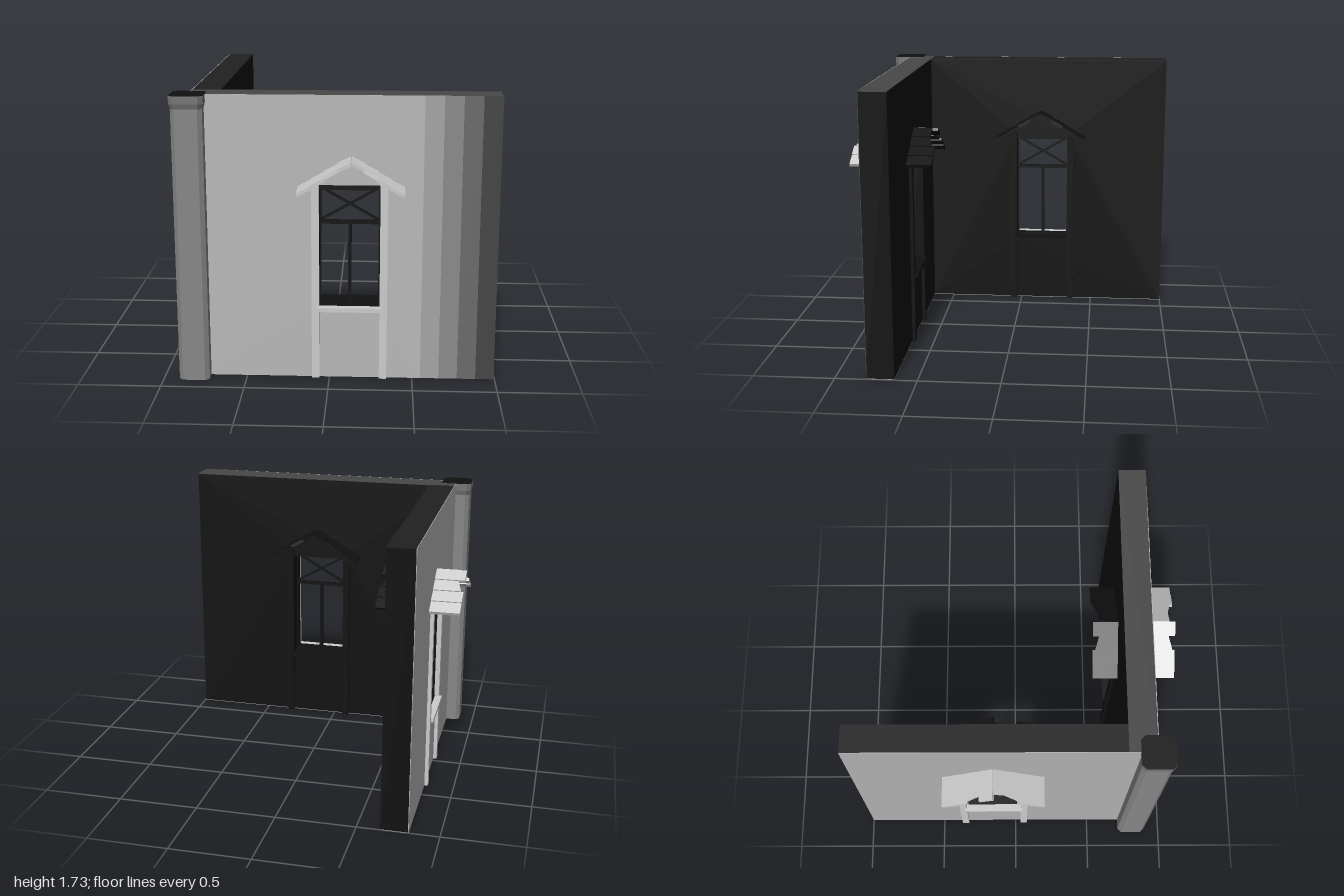
import * as THREE from 'three';

const paint = c => new THREE.MeshStandardMaterial({ color: c });
const DARK = paint(0x101010), TRIM = paint(0xbebebe), TILE = paint(0xcccccc);
const BASE = paint(0xa4a4a4), SHAFT = paint(0x868686), CAP = paint(0x747474);
const H = 1.73, T = 0.17, E = 0.004; // wall height, wall thickness, thickness of its finish
const HOLE = { w: 0.185, y0: 0.44, y1: 1.2 };

function add(parent, name, geo, mat, x = 0, y = 0, z = 0, rz = 0) {
  const m = new THREE.Mesh(geo, mat);
  m.name = name;
  m.position.set(x, y, z);
  m.rotation.z = rz;
  parent.add(m);
}
const box = (w, h, d) => new THREE.BoxGeometry(w, h, d);
const outline = pts => pts.map(p => new THREE.Vector2(...p));

// Slab with one window hole centred on x = 0, between the depths z0 and z1
function slab(x0, x1, y0, y1, z0, z1) {
  const s = new THREE.Shape(outline([[x0, y0], [x1, y0], [x1, y1], [x0, y1]]));
  const { w, y0: b, y1: t } = HOLE;
  s.holes.push(new THREE.Path(outline([[-w, b], [-w, t], [w, t], [w, b]])));
  return new THREE.ExtrudeGeometry(s, { depth: z1 - z0, bevelEnabled: false }).translate(0, 0, z0);
}

// Dark wall core with a pale outer finish, a coping strip and a base strip
function createWall(name, core, skin, skinColor, copingColor) {
  const g = new THREE.Group();
  g.name = name;
  const [x0, x1] = core, mid = (x0 + x1) / 2, d = T - E;
  add(g, 'wallCore', slab(x0, x1, E, H - E, -T / 2, T / 2 - E), DARK);
  add(g, 'wallFinish', slab(skin[0], skin[1], 0, H, T / 2 - E, T / 2), paint(skinColor));
  add(g, 'coping', box(x1 - x0, E, d), paint(copingColor), mid, H - E / 2, -E / 2);
  add(g, 'wallBase', box(x1 - x0, E, d), BASE, mid, E / 2, -E / 2);
  g.add(createWindow());
  return g;
}

// Roof board from the wall centre out to z, its two ends cut back by different amounts
function boardGeometry(reach, cutLeft, cutRight) {
  const g = box(0.091, 0.02, Math.abs(reach)), p = g.attributes.position;
  const sign = Math.sign(reach);
  for (let i = 0; i < p.count; i++) {
    const cut = p.getX(i) < 0 ? cutLeft : cutRight;
    p.setZ(i, p.getZ(i) * sign > 0 ? reach - sign * cut : 0);
  }
  g.computeVertexNormals();
  return g;
}

function createWindow() {
  const g = new THREE.Group();
  g.name = 'window';
  // Posts and sill stand proud on both faces: pale outside, dark inside
  for (const s of [-1, 1]) {
    add(g, 'outerPost', box(0.045, 1.22, 0.03), TRIM, s * 0.2025, 0.61, 0.092);
    add(g, 'innerPost', box(0.045, 1.22, 0.184), DARK, s * 0.2025, 0.61, -0.015);
    add(g, 'sashSide', box(0.012, 0.74, 0.03), DARK, s * 0.177, 0.82, 0);
  }
  add(g, 'outerSill', box(0.385, 0.026, 0.045), TRIM, 0, 0.442, 0.1025);
  add(g, 'innerSill', box(0.385, 0.026, 0.205), DARK, 0, 0.442, -0.0225);
  add(g, 'lintel', box(0.37, 0.035, T - 0.02), DARK, 0, 1.186, 0);
  add(g, 'sashBottom', box(0.36, 0.014, 0.03), DARK, 0, 0.46, 0);
  add(g, 'transom', box(0.36, 0.02, 0.03), DARK, 0, 0.957, 0);
  add(g, 'mullion', box(0.02, 0.5, 0.03), DARK, 0, 0.705, 0);
  // Crossed bars in the upper light
  const a = Math.atan2(0.2, 0.35);
  for (const s of [-1, 1]) add(g, 'crossBar', box(0.4, 0.013, 0.02), DARK, 0, 1.069, 0, s * a);
  // Stepped gable of overlapping boards; each entry is [inner cut, outer cut]
  const slopes = [
    [-1, [[0, 0], [0.04, 0.015], [0, 0], [0, 0]]],
    [1, [[0.035, 0.04], [0.04, 0.015], [0, 0], [0, 0]]],
  ];
  for (const [s, cuts] of slopes) {
    cuts.forEach(([inner, outer], i) => {
      const u = 0.076 * (i + 0.5), ends = s > 0 ? [inner, outer] : [outer, inner];
      const place = [s * u + 0.01, 1.368 - 0.605 * u, 0, -s * 0.47];
      add(g, 'outerRoofBoard', boardGeometry(0.27, ...ends), TILE, ...place);
      add(g, 'innerRoofBoard', boardGeometry(-0.243, ...ends), DARK, ...place);
    });
  }
  return g;
}

// Upright square column with chamfered corners; the foot can be narrowed
function columnGeometry(half, y0, y1, foot = 1) {
  const k = half - 0.025;
  const s = new THREE.Shape(outline([[k, -half], [half, -k], [half, k], [k, half],
    [-k, half], [-half, k], [-half, -k], [-k, -half]]));
  const g = new THREE.ExtrudeGeometry(s, { depth: y1 - y0, bevelEnabled: false })
    .rotateX(-Math.PI / 2).translate(0, y0, 0);
  const p = g.attributes.position;
  for (let i = 0; i < p.count; i++) {
    const f = p.getY(i) < (y0 + y1) / 2 ? foot : 1;
    p.setXYZ(i, p.getX(i) * f, p.getY(i), p.getZ(i) * f);
  }
  g.computeVertexNormals();
  return g;
}

export function createModel() {
  const root = new THREE.Group();
  root.name = 'cornerWalls';

  // Front wall, its finish darkening in bands toward the free end
  const front = createWall('frontWall', [-0.93, 0.875], [-0.935, 0.43], 0xb8b8b8, 0x484848);
  [0xa4a4a4, 0x8a8a8a, 0x6a6a6a, 0x444444].forEach((c, i) => {
    const w = (0.875 - 0.43) / 4;
    add(front, 'wallFinishBand', box(w, H, E), paint(c), 0.43 + w * (i + 0.5), H / 2, T / 2 - E / 2);
  });
  front.position.set(0.12, 0, 0.725);
  root.add(front);

  // Side wall, turned a quarter so its outside faces -x
  const side = createWall('sideWall', [-0.853, 0.787], [-0.853, 0.95], 0xb0b0b0, 0x202020);
  side.rotation.y = -Math.PI / 2;
  side.position.set(-0.73, 0, -0.147);
  root.add(side);

  // Corner pillar with a flared cap and a dark top
  const pillar = new THREE.Group();
  pillar.name = 'cornerPillar';
  add(pillar, 'shaft', columnGeometry(0.092, 0, 1.68), [BASE, SHAFT]);
  add(pillar, 'capFlare', columnGeometry(0.1, 1.655, 1.685, 0.92), CAP);
  add(pillar, 'cap', columnGeometry(0.1, 1.685, 1.732), [DARK, CAP]);
  pillar.position.set(-0.814, 0, 0.808);
  root.add(pillar);

  return root;
}
